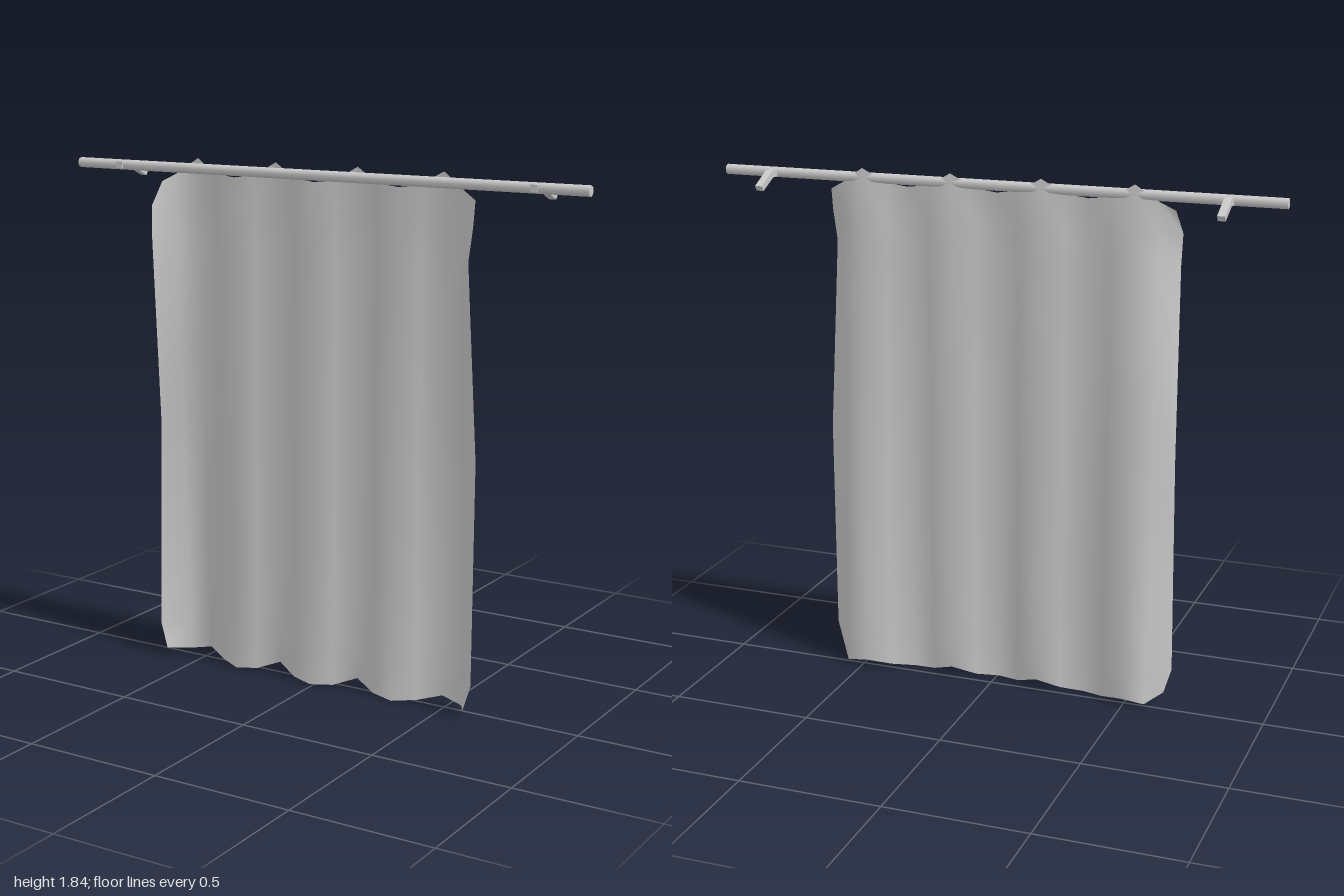
import * as THREE from 'three';

const lerp = THREE.MathUtils.lerp;

// Piecewise linear lookup over [key, value] pairs with rising keys
function sample(pairs, t) {
  for (let i = 1; i < pairs.length; i++) {
    const [k0, v0] = pairs[i - 1], [k1, v1] = pairs[i];
    if (t <= k1) return lerp(v0, v1, Math.max(0, (t - k0) / (k1 - k0)));
  }
  return pairs[pairs.length - 1][1];
}

// Cloth sheet: 17 columns, four gathers, side edges curling forward
function clothGeometry() {
  const columns = 17;
  const rows = [0, 0.13, 0.4, 0.65, 0.9, 1.15, 1.4, 1.57, 1.68, 1.8];
  // Fold depth by column distance from the middle, at the hem and near the top
  const hemZ = [0.06, 0.035, 0, 0.03, 0.045, 0.01, -0.03, -0.015];
  const upperZ = [0.042, 0.028, 0.003, 0.025, 0.038, 0.02, 0.002, 0.03];
  const edgeZ = [[0, 0.07], [0.9, 0.05], [1.57, 0.102], [1.68, 0.088], [1.8, 0.045]];
  const edgeX = [[0, 0.615], [0.13, 0.643], [0.9, 0.638], [1.57, 0.625], [1.68, 0.633], [1.8, 0.618]];
  const hemY = [0.01, 0.015, 0.045, 0.015, 0.007, 0.015, 0.035, 0.02, 0.037];
  const topY = [1.788, 1.798, 1.846, 1.798, 1.788, 1.798, 1.846, 1.79, 1.762];

  const positions = [], indices = [];
  rows.forEach((level, r) => {
    for (let i = 0; i < columns; i++) {
      const k = Math.abs(i - 8), side = Math.sign(i - 8);
      const isTop = r === rows.length - 1;
      const x = -0.01 + side * (k === 8 ? sample(edgeX, level) : k * 0.081);
      const y = r === 0 ? hemY[k] : isTop ? topY[k] : level;
      let z = k === 8 ? sample(edgeZ, level) : lerp(hemZ[k], upperZ[k], Math.min(1, level / 1.6));
      if (isTop && k < 8) z = k === 2 || k === 6 ? 0.012 : 0.028;
      positions.push(x, y, z);
      if (i && r) {
        const d = r * columns + i, c = d - 1, b = d - columns, a = b - 1;
        indices.push(a, b, d, a, d, c);
      }
    }
  });
  const geometry = new THREE.BufferGeometry();
  geometry.setAttribute('position', new THREE.Float32BufferAttribute(positions, 3));
  geometry.setIndex(indices);
  geometry.computeVertexNormals();
  return geometry;
}

// Bent wall bracket, profile drawn as (-z, y) and extruded across x
function bracketGeometry() {
  const shape = new THREE.Shape([
    [-0.05, 1.799], [0.018, 1.799], [0.094, 1.764], [0.106, 1.782], [0.022, 1.823], [-0.05, 1.823],
  ].map(([a, b]) => new THREE.Vector2(a, b)));
  return new THREE.ExtrudeGeometry(shape, { depth: 0.026, bevelEnabled: false })
    .translate(0, 0, -0.013)
    .rotateY(Math.PI / 2);
}

export function createModel() {
  const model = new THREE.Group();
  model.name = 'curtainOnRod';
  const cloth = new THREE.MeshStandardMaterial({ color: 0xcccccc, side: THREE.DoubleSide });
  cloth.name = 'greyCloth';
  const metal = new THREE.MeshStandardMaterial({ color: 0xcacaca });
  metal.name = 'greyMetal';

  const add = (name, geometry, material) => {
    const mesh = new THREE.Mesh(geometry, material);
    mesh.name = name;
    model.add(mesh);
    return mesh;
  };

  add('curtain', clothGeometry(), cloth);

  // Rod across the full width
  const rod = add('rod', new THREE.CylinderGeometry(0.018, 0.018, 2, 8), metal);
  rod.rotation.z = Math.PI / 2;
  rod.position.set(0, 1.811, 0.03);

  // Brackets reaching back to the wall
  for (const [name, x] of [['leftBracket', 0.813], ['rightBracket', -0.813]]) {
    add(name, bracketGeometry(), metal).position.x = x;
  }
  return model;
}
